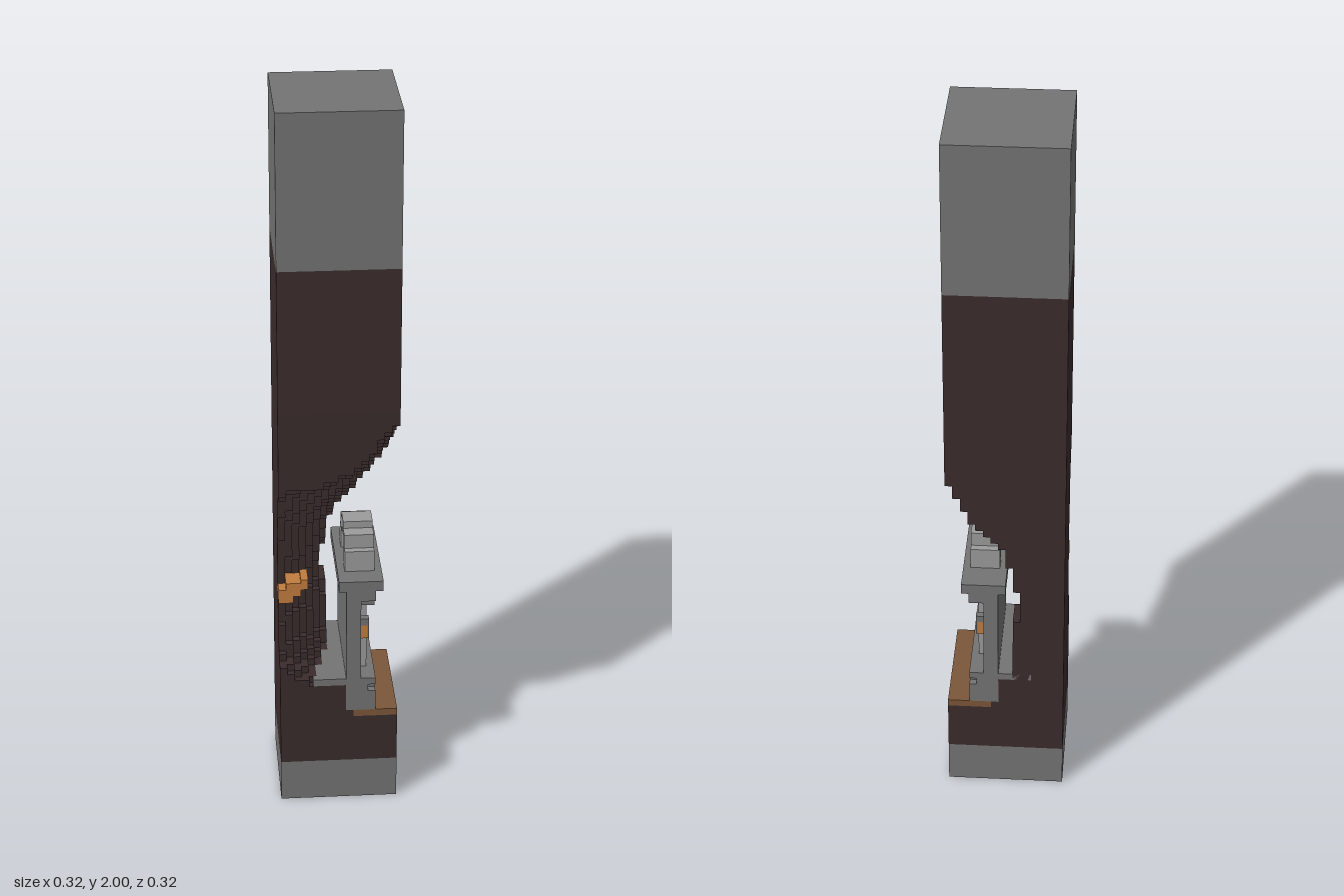
import * as THREE from 'three';

const V = 0.02; // block size
const mat = (name, color) => Object.assign(new THREE.MeshStandardMaterial({ color }), { name });

// Linear interpolation through [y, value] points
function ramp(points, y) {
  if (y <= points[0][0]) return points[0][1];
  for (let i = 1; i < points.length; i++) {
    const [y0, a] = points[i - 1], [y1, b] = points[i];
    if (y <= y1) return a + (b - a) * (y - y0) / (y1 - y0);
  }
  return points[points.length - 1][1];
}

// Depth of the cave wall along the back edge and along the front edge
const backWall = [[0.27, 0.04], [0.29, 0.02], [0.359, 0.02], [0.361, -0.02], [0.54, -0.02], [0.6, -0.04], [0.7, -0.02],
  [0.78, 0.0], [0.82, 0.02], [0.86, 0.07], [0.9, 0.1], [0.96, 0.125], [1.02, 0.16], [1.16, 0.2]];
const frontWall = [[0.27, 0.04], [0.29, 0.02], [0.359, 0.02], [0.361, -0.06], [0.4, -0.13], [0.44, -0.2], [0.56, -0.26],
  [0.85, -0.26], [0.92, -0.19], [0.95, -0.15], [0.97, -0.04], [1.0, 0.03], [1.08, 0.1], [1.16, 0.165]];

function isRock(i, j, k) {
  if (i < 0 || i > 15 || k < 0 || k > 15) return false;
  const x = -0.16 + (i + 0.5) * V, y = 0.26 + (j + 0.5) * V;
  if (y < 0.26 || y > 1.18) return true;
  const w = Math.pow((k + 0.5) / 15.5, 2.5);
  return x < THREE.MathUtils.lerp(ramp(backWall, y), ramp(frontWall, y), w);
}

// Outer faces of the carved blocks
function caveGeometry() {
  const pos = [];
  for (let i = 0; i < 16; i++) for (let j = 0; j < 46; j++) for (let k = 0; k < 16; k++) {
    if (!isRock(i, j, k)) continue;
    for (let a = 0; a < 3; a++) for (const s of [-1, 1]) {
      const n = [i, j, k];
      n[a] += s;
      if (isRock(...n)) continue;
      const corner = (u, v) => {
        const p = [i, j, k];
        p[a] += s > 0 ? 1 : 0;
        p[(a + 1) % 3] += u;
        p[(a + 2) % 3] += v;
        return [-0.16 + p[0] * V, 0.26 + p[1] * V, -0.16 + p[2] * V];
      };
      const q = [corner(0, 0), corner(1, 0), corner(1, 1), corner(0, 1)];
      if (s < 0) q.reverse();
      for (const c of [0, 1, 2, 0, 2, 3]) pos.push(...q[c]);
    }
  }
  const g = new THREE.BufferGeometry();
  g.setAttribute('position', new THREE.Float32BufferAttribute(pos, 3));
  g.computeVertexNormals();
  return g;
}

export function createModel() {
  const stone = mat('stone', 0x747474);
  const paleStone = mat('pale stone', 0x9c9c9c);
  const rock = mat('dark rock', 0x3b2c2c);
  const earth = mat('brown earth', 0x7c573a);
  const glow = mat('orange', 0xc27d3e);

  const model = new THREE.Group();
  model.name = 'cavePillar';
  // Box from its limits on each axis
  const box = (name, m, x0, x1, y0, y1, z0 = -0.16, z1 = 0.16, parent = model) => {
    const mesh = new THREE.Mesh(new THREE.BoxGeometry(x1 - x0, y1 - y0, z1 - z0), m);
    mesh.position.set((x0 + x1) / 2, (y0 + y1) / 2, (z0 + z1) / 2);
    mesh.name = name;
    parent.add(mesh);
  };

  // Pillar
  box('bottomStone', stone, -0.16, 0.16, 0, 0.12);
  box('lowerRock', rock, -0.16, 0.16, 0.12, 0.26);
  box('upperRock', rock, -0.16, 0.16, 1.18, 1.58);
  box('topStone', stone, -0.16, 0.16, 1.58, 2);
  const cave = new THREE.Mesh(caveGeometry(), rock);
  cave.name = 'caveRock';
  model.add(cave);
  box('earthLedge', earth, 0.04, 0.16, 0.26, 0.28);

  // Orange growth stepping along the front of the rock
  [[0.6, -0.16, -0.12], [0.62, -0.16, -0.1], [0.64, -0.14, -0.08], [0.66, -0.1, -0.08]]
    .forEach(([y, x0, x1]) => box('orangeGrowth', glow, x0, x1, y, y + (y > 0.65 ? 0.01 : V), 0.06, 0.12));

  // Temple front
  const temple = new THREE.Group();
  temple.name = 'templeFront';
  model.add(temple);
  const part = (name, m, ...b) => box(name, m, ...b, temple);
  part('floorSlab', stone, -0.07, 0.02, 0.36, 0.38, -0.16, 0.16);
  part('base', stone, 0.02, 0.08, 0.28, 0.38, -0.16, 0.16);
  part('plinth', stone, 0.08, 0.1, 0.28, 0.34, -0.16, 0.16);
  part('baseMoulding', stone, 0.08, 0.1, 0.36, 0.38, -0.16, 0.16);
  part('wall', stone, 0.02, 0.06, 0.38, 0.64, -0.16, 0.16);
  part('cornice', stone, 0.0, 0.12, 0.65, 0.68, -0.16, 0.16);
  part('frieze', stone, 0.02, 0.1, 0.62, 0.65, -0.16, 0.16);

  // Columns with capitals and feet
  for (const z of [0.08, -0.06]) {
    part('column', paleStone, 0.06, 0.08, 0.38, 0.58, z - 0.015, z + 0.015);
    part('capital', stone, 0.06, 0.1, 0.58, 0.62, z - 0.03, z + 0.03);
    part('columnFoot', stone, 0.08, 0.1, 0.34, 0.36, z - 0.02, z + 0.02);
  }
  for (const z of [0.12, 0.01, -0.12])
    part('baseBlock', stone, 0.08, 0.1, 0.34, 0.36, z - 0.02, z + 0.02);

  // Lanterns between the columns
  for (const z of [0.14, 0.01, -0.13]) {
    part('lanternLight', glow, 0.06, 0.078, 0.5, 0.54, z - 0.01, z + 0.01);
    part('lanternFront', stone, 0.078, 0.082, 0.5, 0.54, z - 0.01, z + 0.01);
    part('lanternCap', stone, 0.06, 0.082, 0.54, 0.56, z - 0.01, z + 0.01);
  }

  // Stepped arch on top, with its recessed middle
  for (const s of [-1, 1]) {
    const side = (y0, y1, d0, d1) =>
      part('archStep', paleStone, 0.02, 0.1, y0, y1, 0.01 + Math.min(s * d0, s * d1), 0.01 + Math.max(s * d0, s * d1));
    side(0.68, 0.74, 0.05, 0.09);
    side(0.74, 0.78, 0.03, 0.07);
  }
  part('archTop', paleStone, 0.02, 0.1, 0.76, 0.8, -0.02, 0.04);
  part('archPanel', stone, 0.03, 0.08, 0.68, 0.74, -0.04, 0.06);
  part('archPanelTop', stone, 0.03, 0.08, 0.74, 0.76, -0.02, 0.04);
  return model;
}
